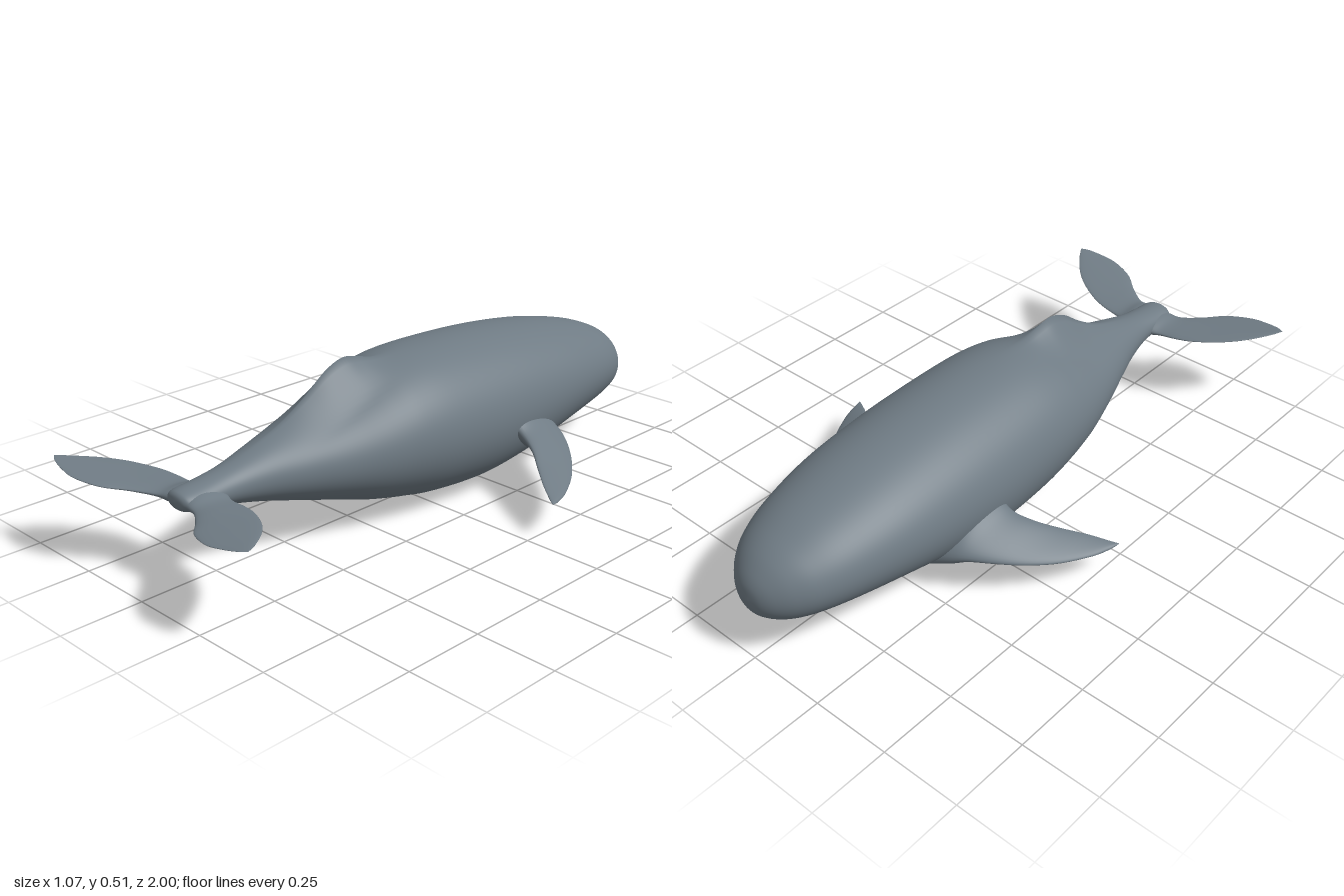
import * as THREE from 'three';

// Smoothly resample a table of cross-sections, column by column
function smooth(rows, count) {
  const curves = rows[0].map((_, c) => new THREE.SplineCurve(rows.map((r, i) => new THREE.Vector2(i, r[c]))));
  return Array.from({ length: count + 1 }, (_, i) => curves.map(c => c.getPoint(i / count).y));
}

// Skin a list of closed rings and cap both ends
function loft(rings) {
  const n = rings[0].length, pos = rings.flat(2), index = [];
  for (let i = 0; i < rings.length - 1; i++) {
    for (let j = 0; j < n; j++) {
      const k = (j + 1) % n, a = i * n, b = a + n;
      index.push(a + j, a + k, b + k, a + j, b + k, b + j);
    }
  }
  const cap = (ring, start, flip) => {
    const c = pos.length / 3;
    pos.push(...[0, 1, 2].map(d => ring.reduce((s, p) => s + p[d], 0) / n));
    for (let j = 0; j < n; j++) {
      const k = (j + 1) % n;
      index.push(c, start + (flip ? k : j), start + (flip ? j : k));
    }
  };
  cap(rings[0], 0, true);
  cap(rings[rings.length - 1], (rings.length - 1) * n, false);
  const g = new THREE.BufferGeometry();
  g.setAttribute('position', new THREE.Float32BufferAttribute(pos, 3));
  g.setIndex(index);
  g.computeVertexNormals();
  return g;
}

// Body sections: z, half width, bottom, top, height of back ridge
const BODY = [
  [-1, 0.004, 0.212, 0.222, 0], [-0.992, 0.045, 0.175, 0.262, 0], [-0.97, 0.085, 0.148, 0.298, 0],
  [-0.93, 0.127, 0.126, 0.335, 0], [-0.87, 0.165, 0.112, 0.366, 0], [-0.77, 0.2, 0.096, 0.4, 0],
  [-0.6, 0.235, 0.068, 0.438, 0], [-0.4, 0.254, 0.025, 0.465, 0], [-0.2, 0.26, 0.002, 0.479, 0],
  [0, 0.254, 0.014, 0.482, 0], [0.12, 0.241, 0.036, 0.468, 0.012], [0.2, 0.225, 0.054, 0.444, 0.054],
  [0.26, 0.209, 0.07, 0.422, 0.086], [0.33, 0.186, 0.092, 0.396, 0.086], [0.41, 0.158, 0.116, 0.371, 0.052],
  [0.5, 0.124, 0.142, 0.348, 0.022], [0.6, 0.089, 0.17, 0.326, 0.006], [0.7, 0.064, 0.193, 0.303, 0],
  [0.79, 0.057, 0.208, 0.288, 0], [0.85, 0.052, 0.219, 0.281, 0], [0.87, 0.036, 0.231, 0.272, 0],
  [0.876, 0.003, 0.249, 0.254, 0]
];

function bodyGeometry() {
  const sides = 80;
  return loft(smooth(BODY, 126).map(([z, w, lo, hi, ridge]) =>
    Array.from({ length: sides }, (_, j) => {
      const a = j / sides * Math.PI * 2;
      const x = Math.cos(a) * w;
      const lift = Math.sin(a) > 0 ? ridge * Math.max(0, 1 - Math.abs(x) / 0.11) ** 1.6 : 0;
      return [x, (lo + hi) / 2 + Math.sin(a) * (hi - lo) / 2 + lift, z];
    })));
}

// Blade sections: x, leading z, trailing z, leading y, trailing y, half thickness
const FLIPPER = [
  [0.17, -0.49, -0.19, 0.12, 0.24, 0.08], [0.235, -0.462, -0.232, 0.135, 0.215, 0.058],
  [0.28, -0.435, -0.235, 0.142, 0.192, 0.036], [0.34, -0.388, -0.207, 0.134, 0.172, 0.023],
  [0.4, -0.328, -0.16, 0.122, 0.149, 0.016], [0.46, -0.25, -0.113, 0.111, 0.13, 0.011],
  [0.51, -0.159, -0.08, 0.106, 0.114, 0.007], [0.53, -0.102, -0.068, 0.105, 0.109, 0.004],
  [0.537, -0.069, -0.065, 0.107, 0.108, 0.001]
];
const FLUKE = [
  [0, 0.72, 0.868, 0.245, 0.25, 0.034], [0.05, 0.735, 0.869, 0.242, 0.247, 0.025],
  [0.09, 0.749, 0.879, 0.242, 0.247, 0.015], [0.15, 0.756, 0.92, 0.248, 0.254, 0.011],
  [0.21, 0.772, 0.97, 0.255, 0.262, 0.009], [0.29, 0.815, 0.998, 0.266, 0.272, 0.007],
  [0.35, 0.866, 0.996, 0.275, 0.28, 0.005], [0.4, 0.928, 0.985, 0.284, 0.287, 0.003],
  [0.424, 0.967, 0.972, 0.29, 0.29, 0.001]
];

function bladeGeometry(rows, side) {
  const sides = 36;
  return loft(smooth(rows, 48).map(([x, z0, z1, y0, y1, t]) =>
    Array.from({ length: sides }, (_, j) => {
      const a = side * j / sides * Math.PI * 2, s = (Math.sin(a) + 1) / 2;
      return [side * x, y0 + (y1 - y0) * s + Math.cos(a) * t, z0 + (z1 - z0) * s];
    })));
}

export function createModel() {
  const model = new THREE.Group();
  model.name = 'whale';
  const skin = new THREE.MeshStandardMaterial({ color: 0x6f7b84 });
  skin.name = 'slate grey skin';
  const add = (name, geometry) => {
    const mesh = new THREE.Mesh(geometry, skin);
    mesh.name = name;
    model.add(mesh);
  };
  add('body', bodyGeometry());
  for (const [label, side] of [['left', 1], ['right', -1]]) {
    add(label + 'Flipper', bladeGeometry(FLIPPER, side));
    add(label + 'Fluke', bladeGeometry(FLUKE, side));
  }
  return model;
}
